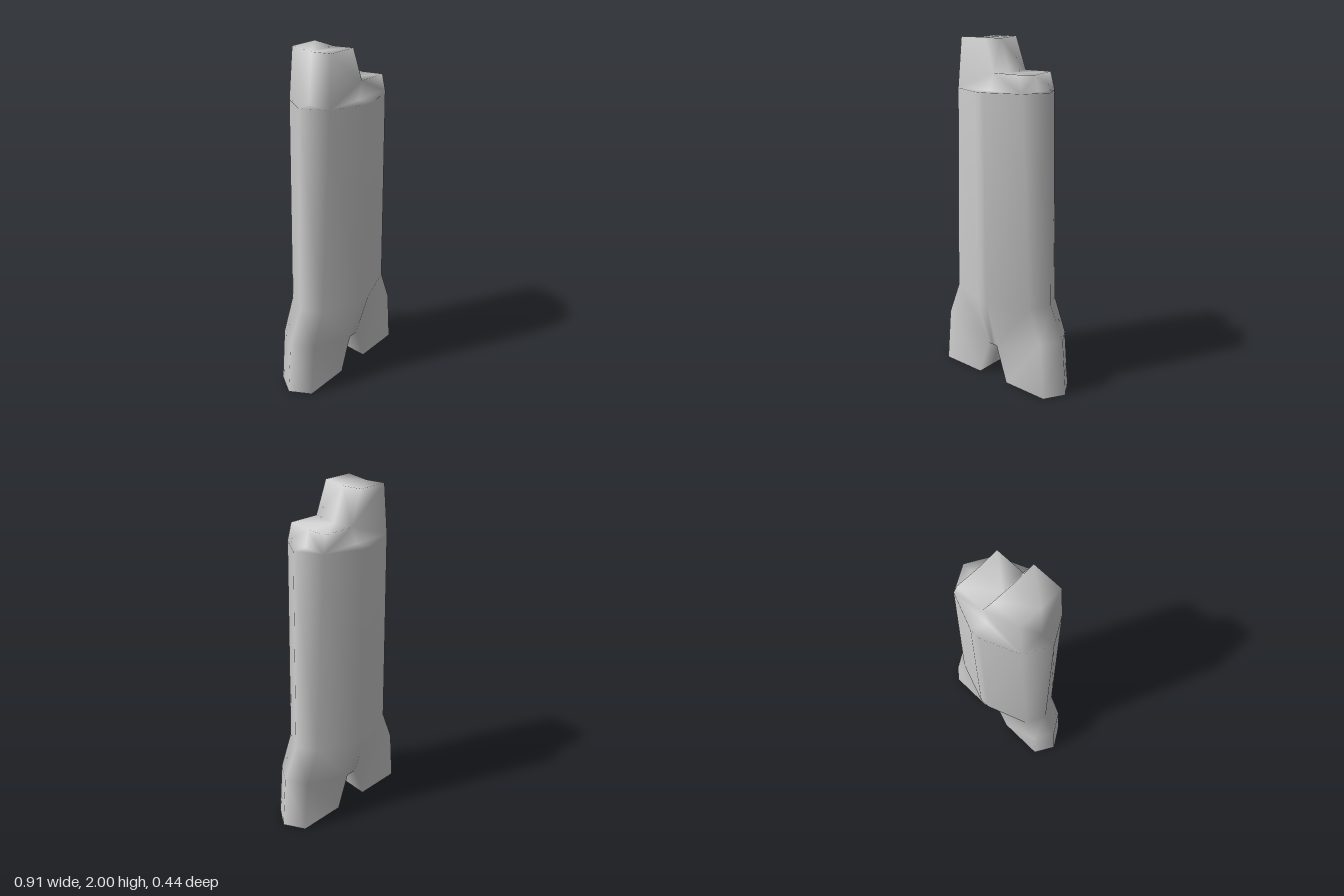
import * as THREE from 'three';
import { mergeVertices } from 'three/addons/utils/BufferGeometryUtils.js';

export function createModel() {
  const positions = [];

  // Adds a polygon as a fan, mirrored by the signs sx and sz
  const addFace = (points, sx, sz) => {
    const p = points.map(([x, y, z]) => [x * sx, y, z * sz]);
    if (sx * sz < 0) p.reverse().unshift(p.pop());
    for (let i = 1; i < p.length - 1; i++) positions.push(...p[0], ...p[i], ...p[i + 1]);
  };

  // Cross-sections of one quarter, from the side ridge to the middle
  const topY = 1.725;
  const top = [[0.305, topY, 0], [0.227, topY, 0.14], [0.03, topY, 0.22], [0, topY, 0.22]];
  const waist = [[0.335, 0.53, 0], [0.275, 0.53, 0.12], [0.03, 0.53, 0.21], [0, 0.53, 0.21]];
  const hip = [[0.425, 0.33, 0], [0.353, 0.33, 0.12], [0.03, 0.22, 0.12], [0, 0.22, 0.12]];
  const foot = [[0.455, 0, 0], [0.383, 0, 0.12], [0.105, 0, 0.12]];

  const quarter = [];
  for (const [lower, upper] of [[waist, top], [hip, waist], [foot, hip]]) {
    for (let i = 0; i < lower.length - 1; i++) {
      quarter.push([lower[i + 1], lower[i], upper[i], upper[i + 1]]);
    }
  }
  // Inner wall of the leg and underside of the fork
  quarter.push([[0.105, 0, 0], foot[2], hip[2], [0.03, 0.22, 0]]);
  quarter.push([[0, 0.22, 0], [0.03, 0.22, 0], hip[2], hip[3]]);
  // Shoulder around the stump
  quarter.push([[0.227, topY, 0], top[1], top[0]]);
  quarter.push([[0, topY, 0.14], top[3], top[2], top[1]]);
  for (const sx of [1, -1]) for (const sz of [1, -1]) quarter.forEach((f) => addFace(f, sx, sz));

  // Stepped stump, with a shallow trough along its top
  const rim = [[-0.205, 2, 0.13], [-0.035, 2, 0.13], [0.03, 1.82, 0.135], [0.203, 1.82, 0.135]];
  const trough = rim.map(([x, y]) => [x, y - 0.01, 0]);
  const left = [0.227, topY, 0.14], right = [-0.227, topY, 0.14];
  const stump = [
    [rim[2], rim[1], rim[0], right, [0, topY, 0.14], left, rim[3]],
    [left, [0.227, topY, 0], trough[3], rim[3]],
    [[-0.227, topY, 0], right, rim[0], trough[0]],
  ];
  for (let i = 0; i < 3; i++) stump.push([trough[i], rim[i], rim[i + 1], trough[i + 1]]);
  for (const sz of [1, -1]) stump.forEach((f) => addFace(f, 1, sz));

  // Weld into one smooth skin, open under the feet
  let geometry = new THREE.BufferGeometry();
  geometry.setAttribute('position', new THREE.Float32BufferAttribute(positions, 3));
  geometry = mergeVertices(geometry, 1e-4);
  geometry.computeVertexNormals();

  const trunk = new THREE.Mesh(
    geometry,
    new THREE.MeshStandardMaterial({ color: 0xcccccc, side: THREE.DoubleSide })
  );
  trunk.name = 'forkedTrunk';
  const group = new THREE.Group();
  group.name = 'trunk';
  group.add(trunk);
  return group;
}
